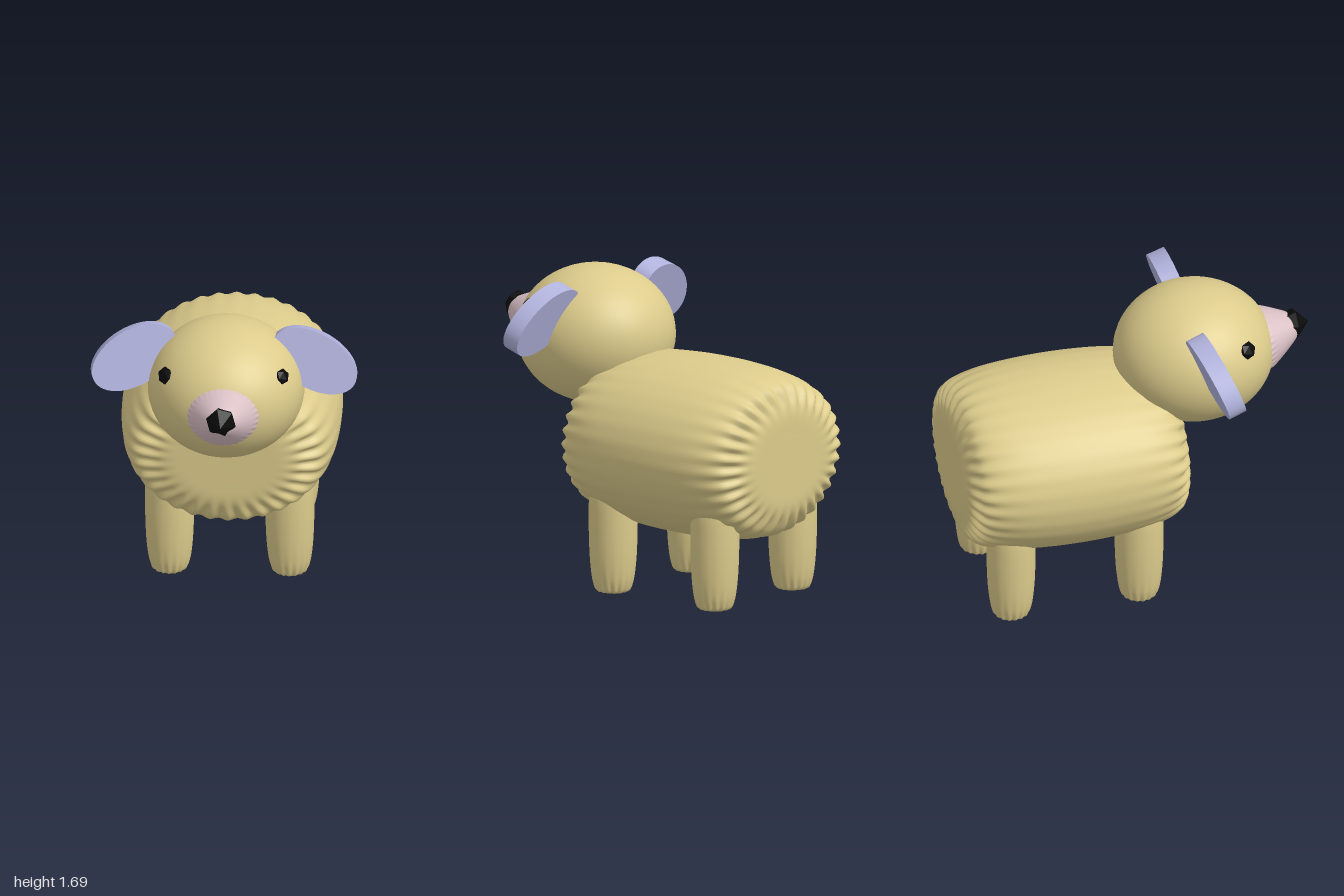
import * as THREE from 'three';
import { mergeVertices, toCreasedNormals } from 'three/addons/utils/BufferGeometryUtils.js';

const mat = (color, extra = {}) => new THREE.MeshStandardMaterial({ color, ...extra });
const fur = mat(0xdccb8b);
const lavender = mat(0xb2b3dd);
const pink = mat(0xd8bfc4);
const black = mat(0x0a0a0a, { flatShading: true });

// Smooth lathe whose rounded rim is gently fluted. The flutes are strongest at radius rimR.
function flutedLathe(points, steps, flutes, rimR, spread, depth) {
  const curve = new THREE.SplineCurve(points.map(([r, y]) => new THREE.Vector2(r, y)));
  const profile = curve.getPoints(steps).map(p => new THREE.Vector2(Math.max(p.x, 0), p.y));
  let geo = new THREE.LatheGeometry(profile, flutes * 6);
  geo.deleteAttribute('uv');
  geo.deleteAttribute('normal');
  geo = mergeVertices(geo, 1e-5);
  const pos = geo.attributes.position;
  const middle = (profile[0].y + profile[profile.length - 1].y) / 2;
  for (let i = 0; i < pos.count; i++) {
    const x = pos.getX(i), y = pos.getY(i), z = pos.getZ(i);
    const r = Math.hypot(x, z);
    const wave = 0.5 - 0.5 * Math.cos(flutes * Math.atan2(x, z));
    const d = depth * wave * Math.exp(-(((r - rimR) / spread) ** 2));
    const k = r > 1e-4 ? (r - d) / r : 1;
    pos.setXYZ(i, x * k, y - Math.sign(y - middle) * d, z * k);
  }
  geo.computeVertexNormals();
  return geo;
}

function add(parent, name, geo, material, x = 0, y = 0, z = 0) {
  const mesh = new THREE.Mesh(geo, material);
  mesh.name = name;
  mesh.position.set(x, y, z);
  parent.add(mesh);
  return mesh;
}

export function createModel() {
  const model = new THREE.Group();
  model.name = 'animal';

  // Barrel body lying along z, with flat ends and fluted rims
  const half = [[0, -1], [0.3, -1], [0.55, -0.995], [0.77, -0.95], [0.88, -0.84],
    [0.955, -0.6], [0.99, -0.3]];
  const barrel = [...half, [1, 0], ...half.slice().reverse().map(([r, h]) => [r, -h])];
  const bodyGeo = flutedLathe(barrel, 72, 32, 0.77, 0.13, 0.035);
  bodyGeo.rotateX(Math.PI / 2);
  bodyGeo.scale(0.593, 0.48, 0.6225);
  bodyGeo.computeVertexNormals();
  add(model, 'body', bodyGeo, fur, 0.012, 0.805, -0.378);

  // Four tapered legs
  const legGeo = flutedLathe([[0, 0], [0.06, 0], [0.09, 0.006], [0.105, 0.035], [0.118, 0.1],
    [0.128, 0.22], [0.132, 0.4], [0.125, 0.56], [0.08, 0.64], [0, 0.65]], 40, 16, 0.1, 0.018, 0.006);
  for (const [end, y, z] of [['front', 0, -0.035], ['back', 0.01, -0.75]]) {
    add(model, end + 'LeftLeg', legGeo, fur, 0.337, y, z);
    add(model, end + 'RightLeg', legGeo, fur, -0.31, y, z);
  }

  // Head
  const head = new THREE.Group();
  head.name = 'head';
  model.add(head);
  const skullGeo = new THREE.SphereGeometry(1, 48, 32);
  skullGeo.scale(0.422, 0.375, 0.435);
  add(head, 'skull', skullGeo, fur, 0.012, 1.31, 0.36);

  // Snout: rounded cone, its tip lifted a little
  const snoutGeo = flutedLathe([[0, 0], [0.12, 0], [0.17, 0.01], [0.187, 0.04], [0.165, 0.09],
    [0.115, 0.17], [0.07, 0.23], [0.03, 0.255], [0, 0.26]], 32, 32, 0.185, 0.02, 0.008);
  snoutGeo.rotateX(Math.PI / 2);
  const snout = add(head, 'snout', snoutGeo, pink, 0.012, 1.315, 0.69);
  snout.rotation.x = -0.22;
  snout.scale.set(1.06, 0.93, 1);

  // Nose: faceted point
  const noseGeo = new THREE.LatheGeometry([[0, -0.07], [0.06, -0.06], [0.083, 0], [0, 0.075]]
    .map(([r, y]) => new THREE.Vector2(r, y)), 6);
  noseGeo.rotateX(Math.PI / 2);
  const nose = add(head, 'nose', noseGeo, black, 0.009, 1.375, 0.925);
  nose.rotation.z = 0.25;

  // Eyes: small faceted pebbles resting on the skull
  const eyeGeo = new THREE.IcosahedronGeometry(0.046, 0);
  for (const [name, x, y, z, s] of [['leftEye', 0.325, 1.483, 0.578, 0.95],
    ['rightEye', -0.308, 1.473, 0.575, 1.08]]) {
    const eye = add(head, name, eyeGeo, black, x, y, z);
    eye.rotation.set(-0.45, Math.sign(x) * 0.95, 0, 'YXZ');
    eye.scale.set(s * 1.08, s, s * 0.5);
  }

  // Ears: thick oval discs, drooping outward and leaning back
  let earGeo = new THREE.CylinderGeometry(1, 1, 0.1, 48);
  earGeo.rotateX(Math.PI / 2);
  earGeo.scale(0.25, 0.15, 1);
  earGeo = toCreasedNormals(earGeo, 0.6);
  for (const [name, side, yaw] of [['leftEar', 1, 0.02], ['rightEar', -1, 0.12]]) {
    const ear = add(head, name, earGeo, lavender, side * 0.487, 1.468, 0.345);
    ear.rotation.set(-0.31, yaw, -side * 0.52, 'YXZ');
  }
  return model;
}
